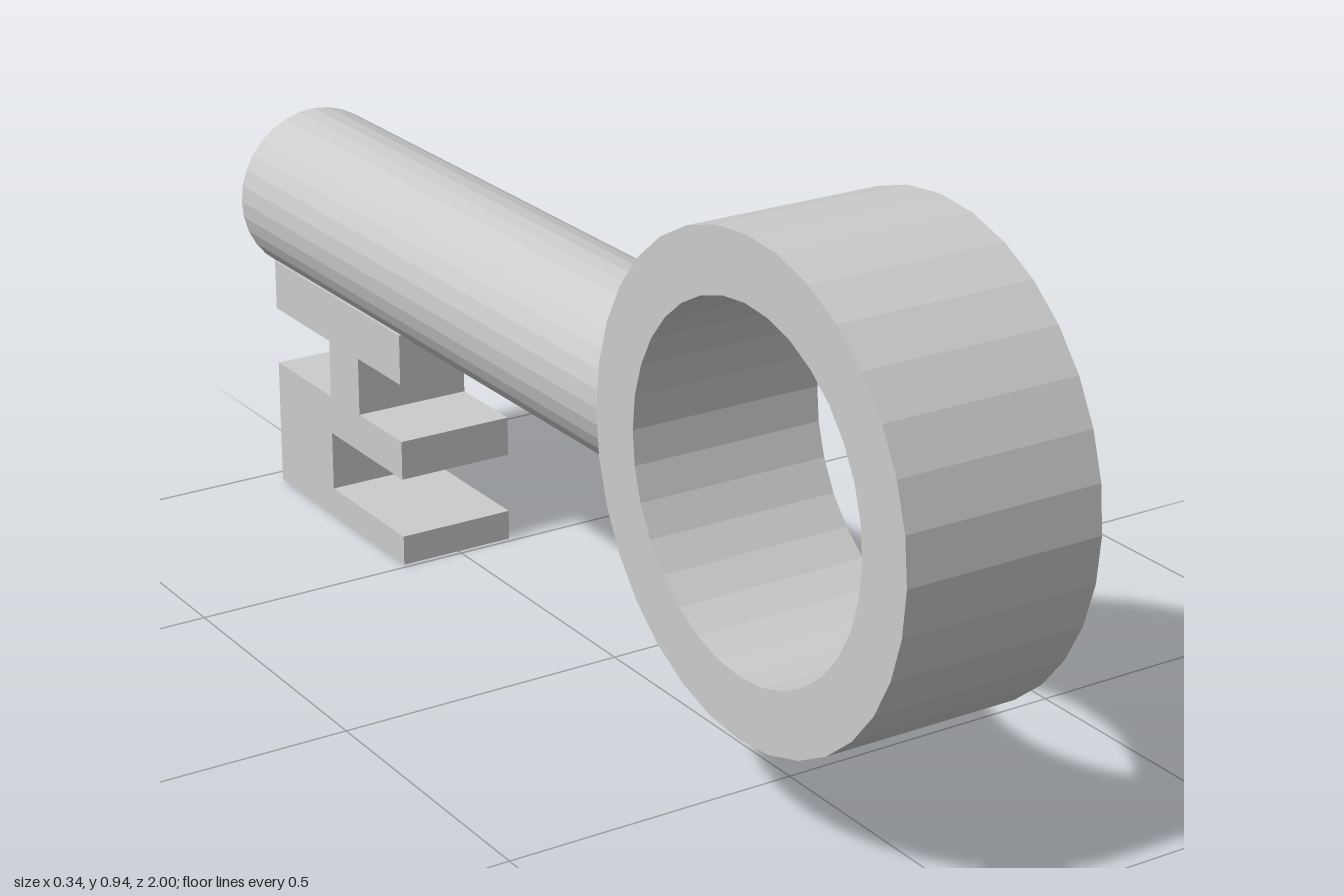
import * as THREE from 'three';

const material = new THREE.MeshStandardMaterial({ color: 0xcccccc, flatShading: true });

// Extrude a side profile drawn in (z, y) across x, centred on the given x.
function sideExtrude(shape, width, x) {
  const geometry = new THREE.ExtrudeGeometry(shape, { depth: width, bevelEnabled: false, curveSegments: 16 });
  geometry.translate(0, 0, -width / 2);
  geometry.rotateY(-Math.PI / 2);
  geometry.translate(x, 0, 0);
  return geometry;
}

export function createModel() {
  const group = new THREE.Group();
  const add = (name, geometry) => {
    const mesh = new THREE.Mesh(geometry, material);
    mesh.name = name;
    group.add(mesh);
    return mesh;
  };

  // Ring handle, 32 flat facets around
  const ring = new THREE.Shape().absarc(0.608, 0.547, 0.392, 0, Math.PI * 2);
  ring.holes.push(new THREE.Path().absarc(0.608, 0.547, 0.29, 0, Math.PI * 2));
  add('ringHandle', sideExtrude(ring, 0.338, -0.001));

  // Round shaft, its front end buried in the ring wall
  const zFront = 0.27, zBack = -1;
  const shaft = add('shaft', new THREE.CylinderGeometry(0.15, 0.15, zFront - zBack, 32));
  shaft.rotation.x = Math.PI / 2;
  shaft.position.set(-0.003, 0.535, (zFront + zBack) / 2);

  // Toothed bit: top bar, neck, middle bar, rear block and lower bar
  const f = -0.51, b = -0.965, n = -0.765;
  const bit = new THREE.Shape([
    [b, 0], [f, 0], [f, 0.053], [n, 0.053], [n, 0.16], [f, 0.16], [f, 0.23],
    [-0.66, 0.23], [-0.66, 0.335], [f, 0.335], [f, 0.425], [b, 0.425],
    [b, 0.335], [n, 0.335], [n, 0.23], [b, 0.23],
  ].map(([z, y]) => new THREE.Vector2(z, y)));
  add('bit', sideExtrude(bit, 0.212, -0.003));

  return group;
}
